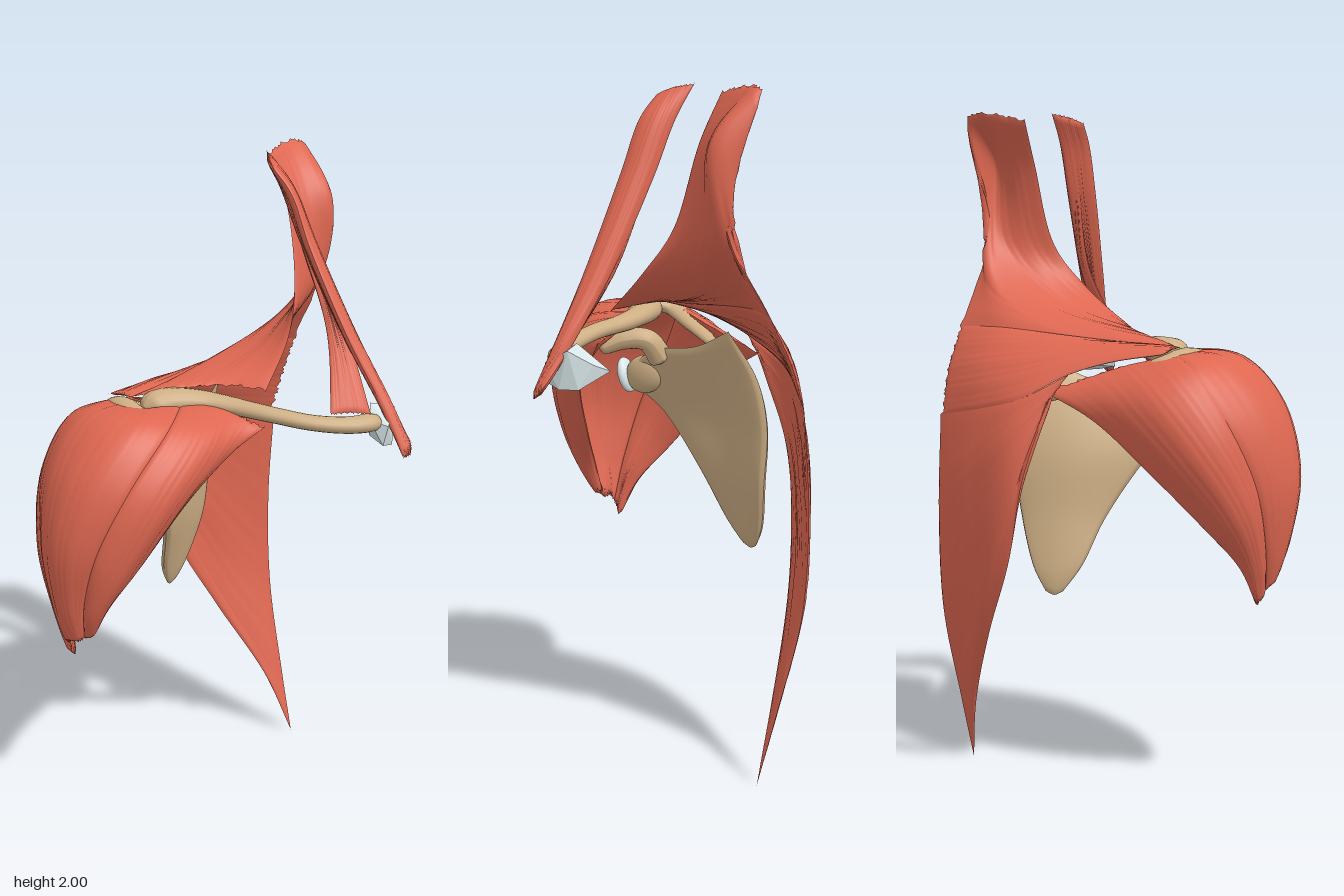
import * as THREE from 'three';
import { ConvexGeometry } from 'three/addons/geometries/ConvexGeometry.js';

const V = (p) => new THREE.Vector3(...p);
const curveOf = (pts) => new THREE.CatmullRomCurve3(pts.map((p) => (p.isVector3 ? p : V(p))));
const material = (color) => new THREE.MeshStandardMaterial({ color, side: THREE.DoubleSide });
const muscle = material(0xde6751);
const bone = material(0xcdae84);
const cartilage = material(0xd6e4e6);
const facetedCartilage = material(0xd6e4e6);
facetedCartilage.flatShading = true;

function mesh(name, geometry, mat) {
  const m = new THREE.Mesh(geometry, mat);
  m.name = name;
  return m;
}

// Thick sheet lofted across fibre curves: full in the middle, thin at its borders.
// ripple makes shallow grooves along the fibres, fray makes the two ends ragged.
function sheet(name, fibres, thickness, { mat = muscle, ripple = 0.0012, fray = 0.4 } = {}) {
  const nu = 44, nv = 40, curves = fibres.map((f) => curveOf(f));
  const grid = [];
  for (let i = 0; i <= nu; i++) {
    const across = curveOf(curves.map((c) => c.getPoint(i / nu)));
    grid.push(Array.from({ length: nv + 1 }, (_, j) => across.getPoint(j / nv)));
  }
  for (let j = 1; j < nv; j++) {
    const k = fray * (1 + Math.sin(j * 2.3) * Math.cos(j * 1.1));
    grid[0][j].lerp(grid[1][j], k);
    grid[nu][j].lerp(grid[nu - 1][j], k);
  }
  const pos = [], idx = [], count = (nu + 1) * (nv + 1);
  for (const side of [1, -1]) {
    for (let i = 0; i <= nu; i++) {
      for (let j = 0; j <= nv; j++) {
        const du = grid[Math.min(i + 1, nu)][j].clone().sub(grid[Math.max(i - 1, 0)][j]);
        const dv = grid[i][Math.min(j + 1, nv)].clone().sub(grid[i][Math.max(j - 1, 0)]);
        const n = du.cross(dv).normalize();
        const border = Math.pow(Math.max(0, Math.sin(Math.PI * j / nv)), 0.5)
          * Math.pow(Math.max(0, Math.sin(Math.PI * i / nu)), 0.25);
        const h = border * (thickness / 2 + ripple * Math.sin(j * 1.3 + 2 * Math.sin(j * 0.7 + i * 0.06)));
        pos.push(...grid[i][j].clone().addScaledVector(n, side * h).toArray());
      }
    }
  }
  for (let i = 0; i < nu; i++) {
    for (let j = 0; j < nv; j++) {
      const a = i * (nv + 1) + j, b = a + nv + 1;
      idx.push(a, b, a + 1, b, b + 1, a + 1);
      const c = a + count, d = b + count;
      idx.push(c, c + 1, d, d, c + 1, d + 1);
    }
  }
  const g = new THREE.BufferGeometry();
  g.setAttribute('position', new THREE.Float32BufferAttribute(pos, 3));
  g.setIndex(idx);
  g.computeVertexNormals();
  return mesh(name, g, mat);
}

// Rounded rod with a changing radius, flattened vertically by flat.
function rod(name, path, radii, flat = 1) {
  const curve = curveOf(path), nu = 48, nr = 16;
  const g = new THREE.TubeGeometry(curve, nu, 1, nr);
  const p = g.attributes.position, v = new THREE.Vector3();
  for (let i = 0; i <= nu; i++) {
    const t = i / nu, c = curve.getPointAt(t), s = t * (radii.length - 1);
    const k = Math.min(Math.floor(s), radii.length - 2);
    const end = Math.sqrt(Math.max(0, 1 - Math.pow(Math.max(0, 1 - Math.min(t, 1 - t) / 0.07), 2)));
    const r = THREE.MathUtils.lerp(radii[k], radii[k + 1], s - k) * Math.max(end, 0.01);
    for (let j = 0; j <= nr; j++) {
      const q = i * (nr + 1) + j;
      v.fromBufferAttribute(p, q).sub(c).multiplyScalar(r);
      v.y *= flat;
      v.add(c);
      p.setXYZ(q, v.x, v.y, v.z);
    }
  }
  g.computeVertexNormals();
  return mesh(name, g, bone);
}

function ellipsoid(name, mat, scale, position, rotation) {
  const m = mesh(name, new THREE.SphereGeometry(1, 24, 16), mat);
  m.scale.set(...scale);
  m.position.set(...position);
  m.rotation.set(...rotation);
  return m;
}

export function createModel() {
  const model = new THREE.Group();
  model.name = 'shoulderAnatomy';

  // Back muscle in three parts, from the midline to the shoulder
  const upperBorder = [[0.52, 1.36, -0.235], [0.35, 1.365, -0.235], [0.2, 1.355, -0.2], [0, 1.335, -0.13], [-0.2, 1.325, -0.07]];
  const lowerBorder = [[0.51, 1.1, -0.335], [0.3, 1.14, -0.375], [0.15, 1.18, -0.375], [0.035, 1.25, -0.3], [-0.07, 1.288, -0.235], [-0.215, 1.315, -0.165]];
  model.add(
    sheet('upperTrapezius', [
      [[0.335, 1.98, -0.14], [0.355, 1.84, -0.07], [0.34, 1.6, 0], [0.27, 1.47, 0.07], [0.14, 1.34, 0.14]],
      [[0.42, 2, -0.185], [0.43, 1.84, -0.085], [0.41, 1.6, -0.04], [0.27, 1.44, -0.01], [0.05, 1.345, 0.04]],
      [[0.505, 1.99, -0.205], [0.507, 1.84, -0.07], [0.485, 1.6, -0.085], [0.27, 1.42, -0.08], [-0.04, 1.34, -0.01]],
      [[0.515, 1.64, -0.1], [0.49, 1.54, -0.145], [0.41, 1.46, -0.17], [0.2, 1.39, -0.13], [-0.11, 1.335, -0.04]],
      upperBorder,
    ], 0.025),
    sheet('middleTrapezius', [
      upperBorder,
      [[0.52, 1.23, -0.295], [0.32, 1.26, -0.315], [0.14, 1.285, -0.28], [0, 1.315, -0.2], [-0.205, 1.325, -0.11]],
      lowerBorder,
    ], 0.03),
    sheet('lowerTrapezius', [
      lowerBorder.slice(0, 4),
      [[0.505, 0.8, -0.355], [0.33, 0.95, -0.395], [0.17, 1.08, -0.405], [0.05, 1.23, -0.31]],
      [[0.505, 0.5, -0.34], [0.31, 0.76, -0.4], [0.16, 0.98, -0.415], [0.065, 1.22, -0.32]],
      [[0.505, 0.2, -0.265], [0.28, 0.61, -0.395], [0.15, 0.9, -0.415], [0.07, 1.2, -0.33]],
      [[0.507, 0, -0.21], [0.44, 0.2, -0.27], [0.3, 0.46, -0.36], [0.175, 0.7, -0.41], [0.115, 0.95, -0.415], [0.075, 1.18, -0.34]],
    ], 0.028, { fray: 0 }),
  );

  // Shoulder cap in three heads that meet at one insertion
  const frontSeam = [[-0.06, 1.305, 0], [-0.2, 1.275, 0.14], [-0.35, 1.14, 0.18], [-0.44, 0.95, 0.14], [-0.45, 0.78, 0.08], [-0.43, 0.65, 0.04]];
  const backSeam = [[-0.22, 1.31, -0.13], [-0.33, 1.27, -0.18], [-0.43, 1.14, -0.17], [-0.485, 0.95, -0.1], [-0.48, 0.76, -0.04], [-0.45, 0.62, 0]];
  model.add(
    sheet('anteriorDeltoid', [
      [[0.12, 1.245, 0.17], [0, 1.18, 0.165], [-0.15, 1.07, 0.17], [-0.28, 0.89, 0.12], [-0.37, 0.78, 0.08], [-0.41, 0.67, 0.05]],
      [[0.04, 1.29, 0.07], [-0.1, 1.225, 0.175], [-0.25, 1.1, 0.21], [-0.37, 0.9, 0.16], [-0.42, 0.76, 0.1], [-0.42, 0.66, 0.05]],
      frontSeam,
    ], 0.05),
    sheet('lateralDeltoid', [
      frontSeam,
      [[-0.18, 1.305, 0], [-0.3, 1.28, 0.08], [-0.42, 1.16, 0.1], [-0.49, 0.97, 0.08], [-0.48, 0.78, 0.05], [-0.44, 0.64, 0.03]],
      [[-0.22, 1.305, -0.06], [-0.34, 1.28, -0.05], [-0.45, 1.16, -0.02], [-0.505, 0.96, 0], [-0.49, 0.77, 0.01], [-0.46, 0.64, 0.01]],
      backSeam,
    ], 0.05),
    sheet('posteriorDeltoid', [
      backSeam,
      [[-0.06, 1.27, -0.19], [-0.23, 1.2, -0.265], [-0.36, 1.06, -0.24], [-0.44, 0.88, -0.15], [-0.45, 0.72, -0.06], [-0.44, 0.59, -0.01]],
      [[0.12, 1.2, -0.32], [-0.05, 1.12, -0.29], [-0.22, 0.98, -0.25], [-0.35, 0.82, -0.16], [-0.41, 0.7, -0.07], [-0.43, 0.58, -0.01]],
    ], 0.045),
  );

  // Neck strap with its two lower heads
  model.add(
    sheet('neckStrapSternalHead', [
      [[0.24, 1.97, 0.02], [0.265, 1.9, 0.08], [0.29, 1.75, 0.14], [0.35, 1.5, 0.25], [0.41, 1.3, 0.35], [0.44, 1.155, 0.42]],
      [[0.26, 1.99, -0.03], [0.29, 1.9, 0.035], [0.32, 1.75, 0.1], [0.38, 1.5, 0.22], [0.435, 1.3, 0.335], [0.465, 1.16, 0.42]],
      [[0.285, 2, -0.075], [0.3, 1.9, -0.015], [0.325, 1.75, 0.05], [0.385, 1.5, 0.18], [0.445, 1.32, 0.3], [0.485, 1.19, 0.4]],
    ], 0.04),
    sheet('neckStrapClavicularHead', [
      [[0.3, 1.78, 0.07], [0.335, 1.5, 0.17], [0.275, 1.28, 0.28]],
      [[0.32, 1.75, 0.07], [0.36, 1.5, 0.18], [0.34, 1.28, 0.305]],
      [[0.33, 1.72, 0.1], [0.385, 1.5, 0.2], [0.39, 1.27, 0.325]],
    ], 0.025),
  );

  // Shoulder blade: plate, spine with acromion, coracoid hook and socket
  const scapula = new THREE.Group();
  scapula.name = 'scapula';
  scapula.add(
    sheet('blade', [
      [[-0.03, 1.2, -0.03], [0.09, 1.22, -0.13], [0.2, 1.28, -0.2]],
      [[-0.14, 1.1, 0.02], [0.08, 1.13, -0.17], [0.23, 1.14, -0.28]],
      [[-0.085, 1, -0.075], [0.08, 1, -0.22], [0.235, 1, -0.31]],
      [[-0.005, 0.82, -0.18], [0.1, 0.82, -0.26], [0.21, 0.82, -0.31]],
      [[0.03, 0.68, -0.25], [0.09, 0.67, -0.29], [0.155, 0.67, -0.32]],
      [[0.07, 0.605, -0.29], [0.09, 0.595, -0.305], [0.115, 0.605, -0.315]],
    ], 0.045, { mat: bone, ripple: 0, fray: 0 }),
    rod('spineAndAcromion', [[-0.185, 1.295, 0.03], [-0.21, 1.3, 0], [-0.215, 1.305, -0.08], [-0.2, 1.29, -0.135], [-0.1, 1.25, -0.175], [0.05, 1.2, -0.22], [0.2, 1.15, -0.27]],
      [0.024, 0.034, 0.034, 0.026, 0.02, 0.018, 0.01], 0.6),
    rod('coracoid', [[-0.03, 1.16, -0.06], [-0.02, 1.225, -0.01], [-0.03, 1.23, 0.05], [-0.05, 1.2, 0.13]], [0.038, 0.034, 0.03, 0.022]),
    ellipsoid('socketNeck', bone, [0.07, 0.058, 0.03], [-0.09, 1.11, -0.02], [0, 0.7, 0.3]),
    ellipsoid('socketCartilage', cartilage, [0.02, 0.055, 0.036], [-0.145, 1.1, 0.025], [0, 0.7, 0.3]),
  );
  model.add(scapula);

  // Collar bone with the joint cartilage at its inner end
  model.add(
    rod('clavicle', [[-0.18, 1.305, -0.02], [-0.1, 1.31, -0.025], [0, 1.305, 0.02], [0.06, 1.295, 0.08], [0.13, 1.283, 0.18], [0.22, 1.265, 0.27], [0.32, 1.255, 0.32], [0.42, 1.255, 0.335]],
      [0.05, 0.05, 0.038, 0.032, 0.03, 0.03, 0.033, 0.038], 0.75),
    mesh('jointCartilage', new ConvexGeometry([
      [0.38, 1.26, 0.33], [0.4, 1.19, 0.37], [0.41, 1.3, 0.29], [0.47, 1.29, 0.33], [0.41, 1.2, 0.29],
      [0.475, 1.23, 0.21], [0.48, 1.25, 0.26], [0.475, 1.18, 0.3], [0.45, 1.18, 0.35], [0.41, 1.25, 0.38],
    ].map(V)), facetedCartilage),
  );
  return model;
}
